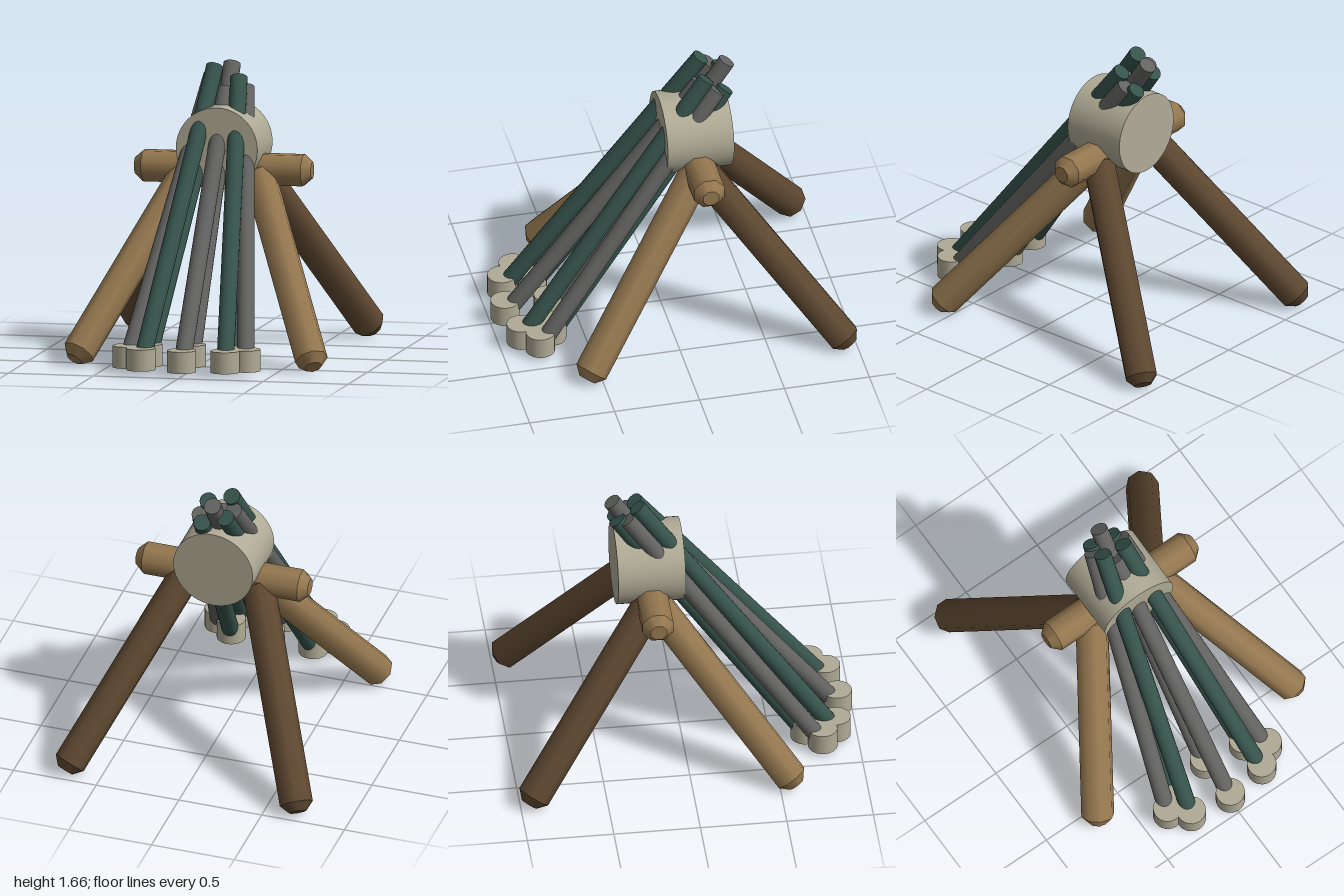
import * as THREE from 'three';
import { mergeGeometries } from 'three/addons/utils/BufferGeometryUtils.js';

const mat = (name, color) => {
  const m = new THREE.MeshStandardMaterial({ color });
  m.name = name;
  return m;
};

export function createModel() {
  const model = new THREE.Group();
  const wood = mat('light wood', 0x957850);
  const darkWood = mat('dark wood', 0x5e4831);
  const stone = mat('pale stone', 0xb0ab96);
  const grey = mat('grey', 0x626261);
  const green = mat('dark green', 0x36534b);

  const add = (name, geometry, material) => {
    const mesh = new THREE.Mesh(geometry, material);
    mesh.name = name;
    model.add(mesh);
    return mesh;
  };

  // Lay a y-aligned mesh between two points
  const span = (mesh, a, b) => {
    const dir = b.clone().sub(a);
    mesh.position.copy(a).add(b).multiplyScalar(0.5);
    mesh.quaternion.setFromUnitVectors(new THREE.Vector3(0, 1, 0), dir.normalize());
    return mesh;
  };

  // Eight-sided log with chamfered ends
  const log = (name, a, b, material) => {
    const r = 0.096, tip = 0.05, c = 0.05, body = a.distanceTo(b) - 2 * c, phase = Math.PI / 8;
    const cap = new THREE.CylinderGeometry(tip, r, c, 8, 1, false, phase).translate(0, (body + c) / 2, 0);
    const geometry = mergeGeometries([
      new THREE.CylinderGeometry(r, r, body, 8, 1, true, phase),
      cap,
      cap.clone().rotateX(Math.PI),
    ]);
    return span(add(name, geometry, material), a, b);
  };

  // Drum and cross bar
  const drum = add('drum', new THREE.CylinderGeometry(0.24, 0.24, 0.39, 48).rotateX(Math.PI / 2), stone);
  drum.position.set(0, 1.198, -0.185);
  log('crossBar', new THREE.Vector3(-0.52, 1.065, -0.18), new THREE.Vector3(0.52, 1.065, -0.18), wood);

  // Four splayed legs
  for (const sx of [-1, 1]) {
    for (const sz of [-1, 1]) {
      log(
        (sz > 0 ? 'front' : 'back') + (sx > 0 ? 'LeftLeg' : 'RightLeg'),
        new THREE.Vector3(sx * 0.703, 0.04, -0.18 + sz * 0.773),
        new THREE.Vector3(sx * 0.2, 1.065, -0.18),
        sz > 0 ? wood : darkWood
      );
    }
  }

  // Ring of eight poles of uneven length, each in a round foot
  const tops = [1.51, 1.58, 1.515, 1.5, 1.64, 1.56, 1.58, 1.64];
  tops.forEach((y, i) => {
    const a = (i * Math.PI) / 4, s = Math.sin(a), c = Math.cos(a);
    const base = new THREE.Vector3(0.35 * s, 0.062, 0.787 + 0.127 * c);
    const top = new THREE.Vector3(0.1 * s, y, -0.31 + 0.08 * c);
    const geometry = new THREE.CylinderGeometry(0.05, 0.05, base.distanceTo(top), 20);
    span(add('pole' + (i + 1), geometry, i % 2 ? green : grey), base, top);
    add('foot' + (i + 1), new THREE.CylinderGeometry(0.084, 0.084, 0.125, 24), stone)
      .position.set(base.x, 0.0975, base.z);
  });

  return model;
}
